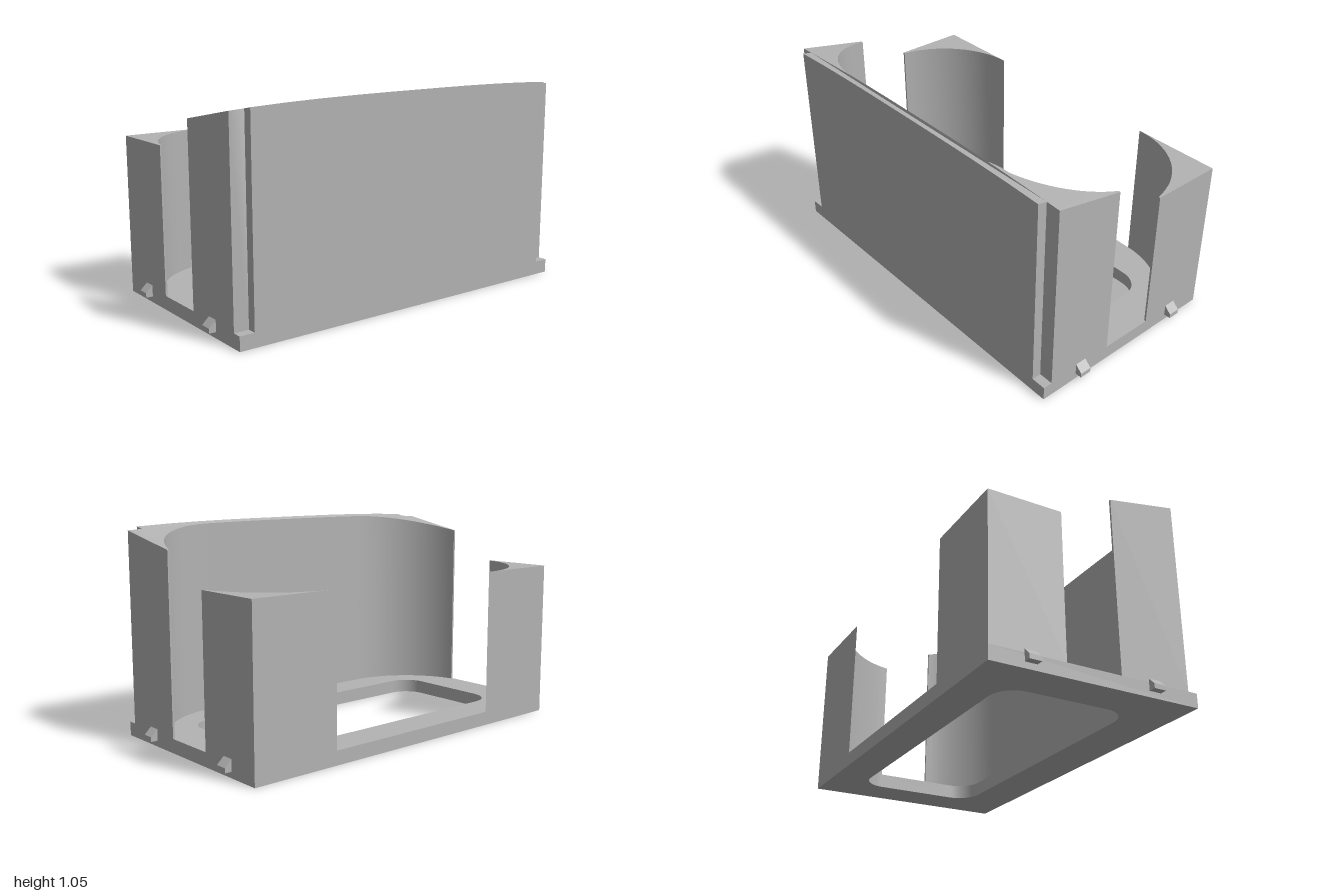
import * as THREE from 'three';
import { toCreasedNormals } from 'three/addons/utils/BufferGeometryUtils.js';

const W = 0.965, D = 0.525, BASE = 0.07;
const FLAT = 0.51, ARC_END = 0.955; // x where the rounded bay corners start and stop

// Extrude a plan drawn as (x, -z) upwards from y0 to y1
function extrudePlan(shape, y0, y1) {
  const g = new THREE.ExtrudeGeometry(shape, { depth: y1 - y0, bevelEnabled: false, curveSegments: 10 });
  g.rotateX(-Math.PI / 2);
  g.translate(0, y0, 0);
  return g;
}

// Bay corner: leaves (FLAT, zFlat) tangentially and ends at (ARC_END, zEnd); points are [x, z]
function cornerArc(zFlat, zEnd, n = 18) {
  const dx = ARC_END - FLAT, dz = Math.abs(zFlat - zEnd), s = Math.sign(zFlat);
  const r = (dx * dx + dz * dz) / (2 * dz);
  const end = Math.atan2(dx, r - dz);
  return Array.from({ length: n + 1 }, (_, i) => {
    const a = end * i / n;
    return [FLAT + r * Math.sin(a), zFlat - s * r * (1 - Math.cos(a))];
  });
}

const planShape = pts => new THREE.Shape(pts.map(([x, z]) => new THREE.Vector2(x, -z)));

function roundedRectPath(x0, y0, x1, y1, r) {
  const p = new THREE.Path();
  p.absarc(x1 - r, y1 - r, r, 0, Math.PI / 2);
  p.absarc(x0 + r, y1 - r, r, Math.PI / 2, Math.PI);
  p.absarc(x0 + r, y0 + r, r, Math.PI, Math.PI * 1.5);
  p.absarc(x1 - r, y0 + r, r, Math.PI * 1.5, Math.PI * 2);
  p.closePath();
  return p;
}

export function createModel() {
  const group = new THREE.Group();
  const grey = new THREE.MeshStandardMaterial({ color: 0xb3b3b3 });
  grey.name = 'grey plastic';
  const add = (name, geometry) => {
    const mesh = new THREE.Mesh(toCreasedNormals(geometry, 0.45), grey);
    mesh.name = name;
    group.add(mesh);
  };

  // Base plate with a rounded opening
  const base = planShape([[-W, D], [W, D], [W, -D], [-W, -D]]);
  base.holes.push(roundedRectPath(-0.765, -0.302, 0.765, 0.345, 0.12));
  add('basePlate', extrudePlan(base, 0, BASE));

  // Front wall: notched outer corners, curved inner corners
  const half = [];
  for (let i = 0; i <= 5; i++) half.push([0.89 * i / 5, D]);
  half.push([0.89, 0.478], [W, 0.478], [W, 0.12]);
  half.push(...cornerArc(0.475, 0.12).reverse());
  half.push([0.34, 0.475], [0.17, 0.475], [0, 0.475]);
  const mirrored = half.slice(1, -1).reverse().map(([x, z]) => [-x, z]);
  const wall = extrudePlan(planShape([...half, ...mirrored]), BASE, 1);

  // Slope the top up towards the front, with a slight crown across it
  const pos = wall.attributes.position;
  for (let i = 0; i < pos.count; i++) {
    if (pos.getY(i) < 0.5) continue;
    const u = Math.abs(pos.getX(i)) / W;
    pos.setY(i, 0.955 + 0.194 * (pos.getZ(i) - 0.12) + 0.019 * (1 - u ** 3));
  }
  add('frontWall', wall);

  for (const [side, s] of [['left', 1], ['right', -1]]) {
    // Rear corner pillar
    const plan = [[W, -D], [W, -0.155], ...cornerArc(-D, -0.155).reverse()];
    add(side + 'RearPillar', extrudePlan(planShape(plan.map(([x, z]) => [s * x, z])), BASE, 0.8));

    // Wedge-shaped snap clips
    for (const [end, z] of [['Front', 0.293], ['Rear', -0.327]]) {
      const wedge = new THREE.Shape([[W - 0.005, 0.03], [1, 0.03], [1, 0.053], [W, 0.087], [W - 0.005, 0.087]]
        .map(([x, y]) => new THREE.Vector2(s * x, y)));
      const clip = new THREE.ExtrudeGeometry(wedge, { depth: 0.06, bevelEnabled: false });
      clip.translate(0, 0, z - 0.03);
      add(side + end + 'Clip', clip);
    }
  }
  return group;
}
